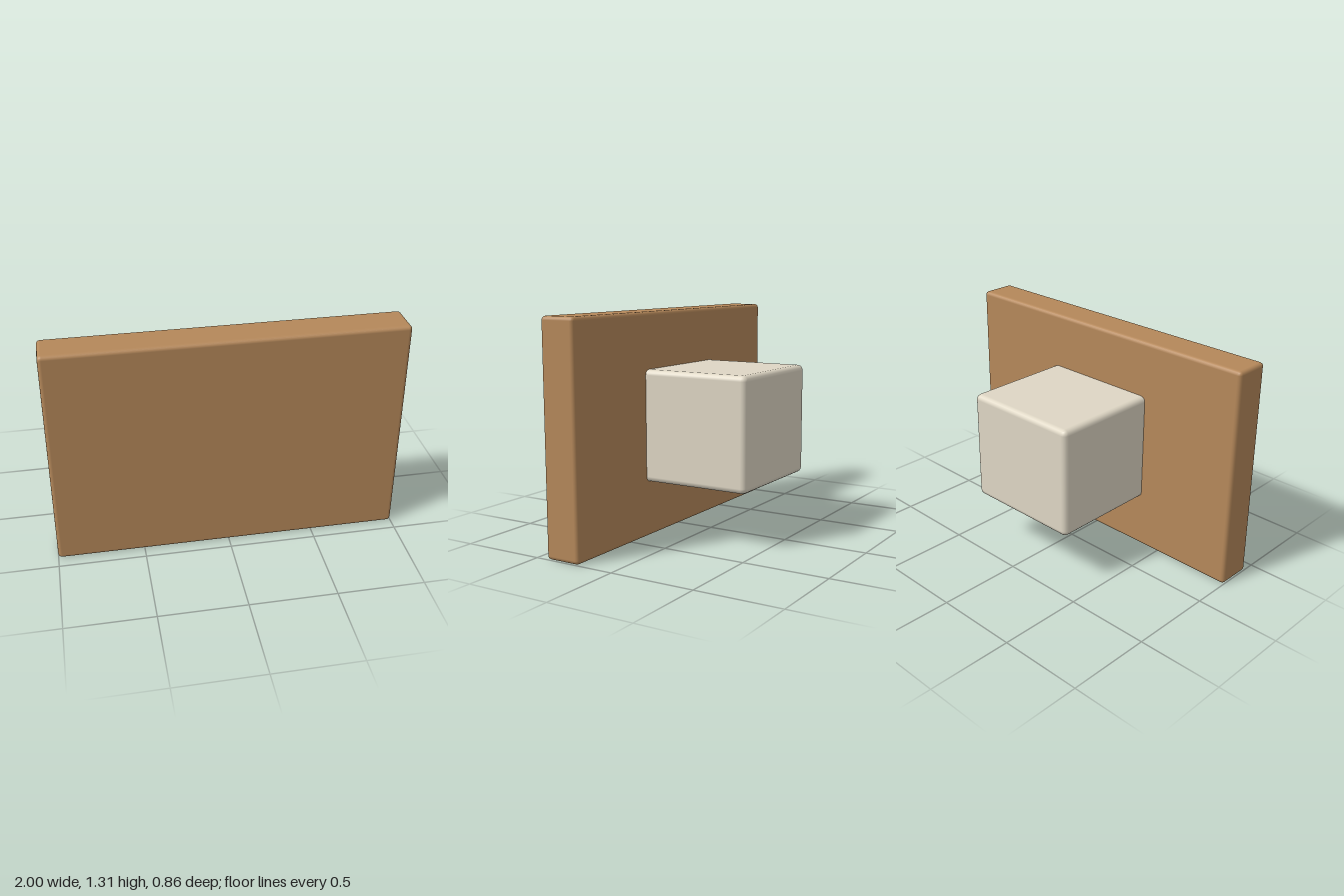
import * as THREE from 'three';
import { RoundedBoxGeometry } from 'three/addons/geometries/RoundedBoxGeometry.js';

// Soft-edged box spanning the corner points min and max
function softBox(name, color, min, max, radius) {
  const box = new THREE.Box3(new THREE.Vector3(...min), new THREE.Vector3(...max));
  const size = box.getSize(new THREE.Vector3());
  const mesh = new THREE.Mesh(
    new RoundedBoxGeometry(size.x, size.y, size.z, 2, radius),
    new THREE.MeshStandardMaterial({ color })
  );
  box.getCenter(mesh.position);
  mesh.name = name;
  return mesh;
}

export function createModel() {
  const model = new THREE.Group();
  model.name = 'boardWithBlock';
  // Wide upright wooden board
  model.add(softBox('board', 0xb5885a, [-1, 0, 0.217], [1, 1.31, 0.432], 0.022));
  // Pale block on the back, set slightly into the board
  model.add(softBox('backBlock', 0xded6c4, [-0.37, 0.328, -0.432], [0.36, 0.982, 0.26], 0.032));
  return model;
}
